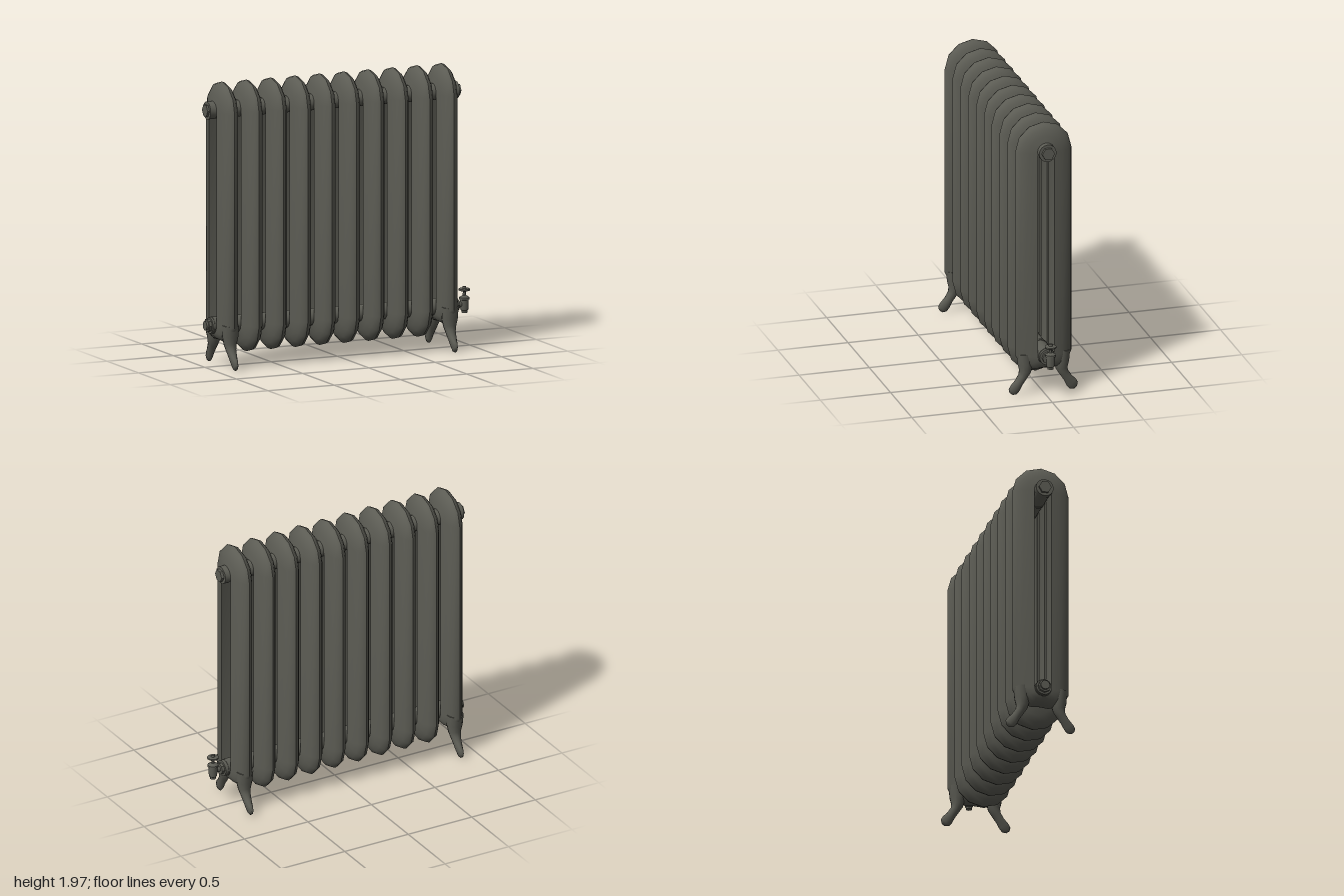
import * as THREE from 'three';
import { toCreasedNormals } from 'three/addons/utils/BufferGeometryUtils.js';

const TOP = 1.775, BOTTOM = 0.295, OUTER = 0.2, INNER = 0.06, HALF_WIDTH = 0.0735;

// Skin closed rings of Vector3; either loop back to the first ring or cap both ends.
function loft(rings, loop, crease) {
  const n = rings[0].length, m = rings.length;
  const pts = rings.flat(), idx = [];
  for (let i = 0; i < (loop ? m : m - 1); i++) {
    for (let j = 0; j < n; j++) {
      const a = i * n + j, b = i * n + (j + 1) % n;
      const c = ((i + 1) % m) * n + j, d = ((i + 1) % m) * n + (j + 1) % n;
      idx.push(a, b, d, a, d, c);
    }
  }
  if (!loop) {
    for (let j = 1; j < n - 1; j++) {
      idx.push(0, j + 1, j, (m - 1) * n, (m - 1) * n + j, (m - 1) * n + j + 1);
    }
  }
  // Turn the faces outward when the enclosed volume is negative
  let volume = 0;
  const v = new THREE.Vector3();
  for (let i = 0; i < idx.length; i += 3) {
    volume += pts[idx[i]].dot(v.crossVectors(pts[idx[i + 1]], pts[idx[i + 2]]));
  }
  if (volume < 0) idx.reverse();
  const g = new THREE.BufferGeometry().setFromPoints(pts);
  g.setIndex(idx);
  return toCreasedNormals(g, crease);
}

// Upright loop with a half-elliptic section; footed ones have a shallower bottom.
function sectionGeometry(footed) {
  const rings = [];
  const addRing = (deg, cy) => {
    const th = THREE.MathUtils.degToRad(deg), s = Math.sin(th), c = Math.cos(th);
    const outer = footed && deg > 180 ? OUTER - 0.095 * s * s : OUTER;
    const k = (outer - INNER) / (OUTER - INNER);
    const ring = [];
    for (let i = -4; i <= 4; i++) {
      const a = THREE.MathUtils.degToRad(i * 18.13);
      const r = INNER + (OUTER * Math.cos(a) - INNER) * k;
      ring.push(new THREE.Vector3(HALF_WIDTH * Math.sin(a), cy + r * s, r * c));
    }
    rings.push(ring);
  };
  for (let d = 0; d <= 180; d += 30) addRing(d, TOP);
  for (let d = 180; d <= 360; d += 30) addRing(d, BOTTOM);
  return loft(rings, true, THREE.MathUtils.degToRad(45));
}

// Curved leg with a rounded toe: z, y, half depth, half width
function legGeometry() {
  const path = [
    [0.135, 0.31, 0.055, 0.06], [0.128, 0.23, 0.055, 0.056], [0.13, 0.175, 0.042, 0.045],
    [0.147, 0.135, 0.032, 0.035], [0.174, 0.093, 0.031, 0.028], [0.2, 0.055, 0.039, 0.021],
    [0.217, 0.031, 0.036, 0.015], [0.228, 0.017, 0.016, 0.008],
  ];
  const rings = path.map(([z, y, depth, width], i) => {
    const p = path[Math.max(i - 1, 0)], q = path[Math.min(i + 1, path.length - 1)];
    const len = Math.hypot(q[0] - p[0], q[1] - p[1]);
    const nz = -(q[1] - p[1]) / len, ny = (q[0] - p[0]) / len;
    return Array.from({ length: 12 }, (_, j) => {
      const a = j / 12 * Math.PI * 2, d = depth * Math.cos(a);
      return new THREE.Vector3(width * Math.sin(a), y + ny * d, z + nz * d);
    });
  });
  return loft(rings, false, 1.2);
}

// Turned part from [radius, height] pairs, bottom to top
function turned(profile, sides) {
  const g = new THREE.LatheGeometry(profile.map(([r, y]) => new THREE.Vector2(r, y)), sides);
  return toCreasedNormals(g, 0.7);
}

export function createModel() {
  const model = new THREE.Group();
  model.name = 'radiator';
  const iron = new THREE.MeshStandardMaterial({ color: 0x5c5c54 });
  iron.name = 'castIron';

  const add = (name, geometry, x = 0, y = 0, z = 0) => {
    const mesh = new THREE.Mesh(geometry, iron);
    mesh.name = name;
    mesh.position.set(x, y, z);
    model.add(mesh);
    return mesh;
  };
  // Cylinder lying along x between two positions
  const bar = (name, x0, x1, y, radius, sides = 16) => {
    const g = new THREE.CylinderGeometry(radius, radius, x1 - x0, sides);
    g.rotateZ(Math.PI / 2);
    return add(name, toCreasedNormals(g, 0.7), (x0 + x1) / 2, y, 0);
  };

  // Ten sections, the end ones standing on legs
  const plain = sectionGeometry(false), footed = sectionGeometry(true), leg = legGeometry();
  const count = 10, first = -0.87, step = 0.184;
  for (let i = 0; i < count; i++) {
    const x = first + i * step, end = i === 0 || i === count - 1;
    add(end ? 'endSection' : 'section', end ? footed : plain, x);
    if (end) {
      add('frontLeg', leg, x);
      add('backLeg', leg, x).rotation.y = Math.PI;
    }
  }

  // Connecting hubs and their joint rings
  for (const y of [1.783, BOTTOM]) {
    bar(y > 1 ? 'topHub' : 'bottomHub', -0.95, 0.865, y, 0.059);
    for (let i = 0; i < count - 1; i++) {
      const x = first + (i + 0.5) * step;
      bar('jointRing', x - 0.012, x + 0.012, y, 0.063);
    }
  }

  // Top plugs with hexagonal heads
  bar('rightTopCollar', -0.985, -0.94, 1.783, 0.062);
  bar('rightTopPlug', -1.0, -0.98, 1.783, 0.045, 6);
  bar('leftTopCollar', 0.855, 0.895, 1.783, 0.062);
  bar('leftTopPlug', 0.89, 0.915, 1.783, 0.045, 6);

  // Bottom fittings, stepped down towards the pipe
  bar('rightBottomCollar', -0.965, -0.94, BOTTOM, 0.056);
  bar('rightBottomNut', -0.985, -0.96, BOTTOM, 0.045, 8);
  bar('rightBottomPlug', -1.0, -0.98, BOTTOM, 0.032);
  bar('leftBottomCollar', 0.86, 0.888, BOTTOM, 0.056);
  bar('leftBottomNut', 0.885, 0.908, BOTTOM, 0.041, 8);
  bar('valvePipe', 0.9, 0.957, BOTTOM, 0.018, 12);

  // Valve body with flanges, stem and handwheel
  const valveX = 0.958;
  add('valveBody', turned([
    [0, 0.236], [0.021, 0.236], [0.021, 0.25], [0.027, 0.255], [0.03, 0.275], [0.03, 0.325],
    [0.037, 0.328], [0.037, 0.342], [0.025, 0.347], [0.014, 0.357], [0, 0.357],
  ], 14), valveX);
  add('valveStem', turned([
    [0, 0.35], [0.012, 0.35], [0.01, 0.38], [0.016, 0.392], [0, 0.392],
  ], 10), valveX);
  add('handwheel', turned([
    [0, 0.387], [0.034, 0.387], [0.04, 0.391], [0.04, 0.4], [0.034, 0.404],
    [0.014, 0.404], [0.012, 0.418], [0, 0.418],
  ], 14), valveX);
  return model;
}
